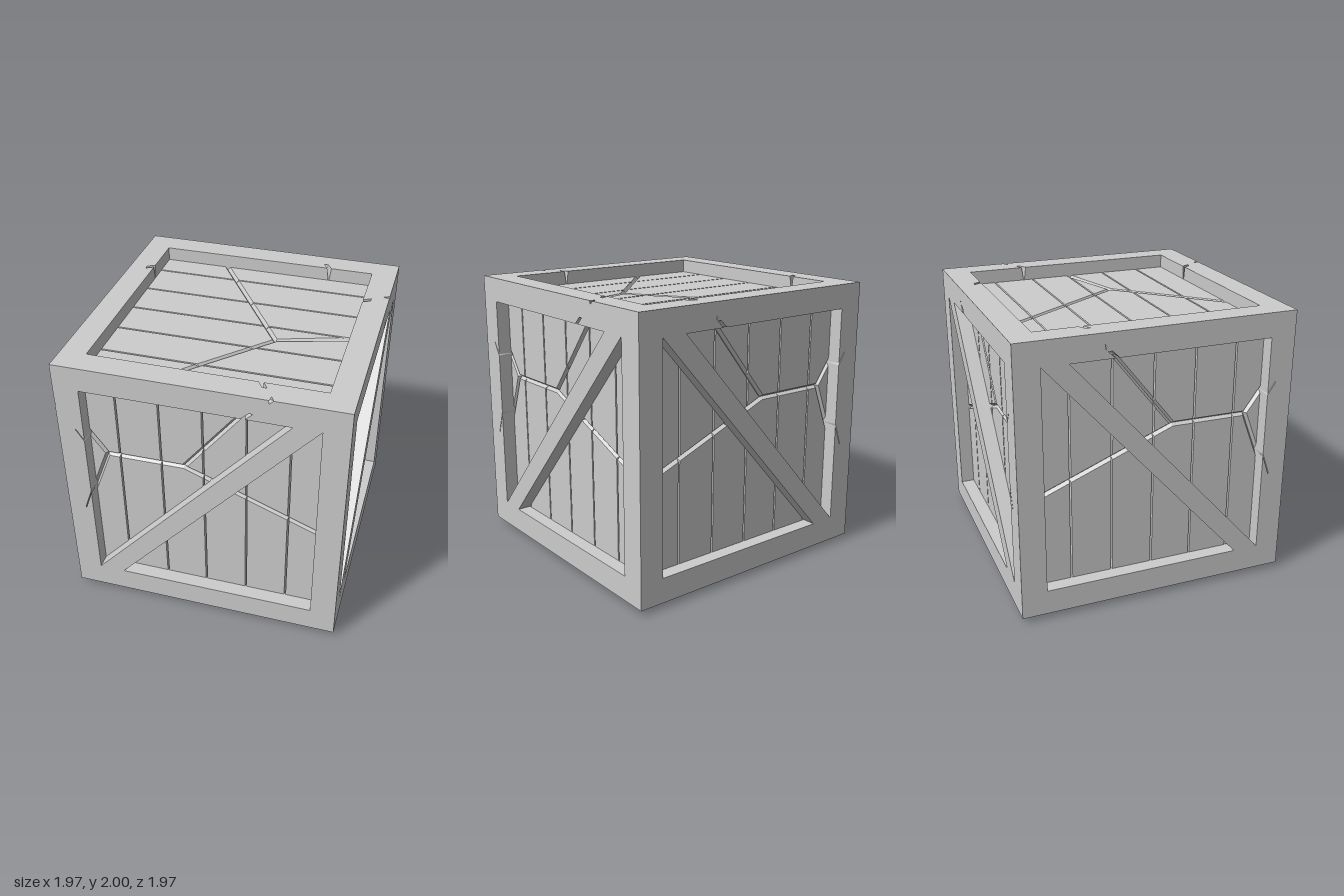
import * as THREE from 'three';

const OUT = 0.985, IN = 0.805;          // frame: outer half width, opening half width
const LOW = 0.04, TOP = 2;              // crate bottom and top
const SILL = 0.22, HEAD = 1.825;        // side opening
const RECESS = 0.1, GROOVE = 0.025;     // panel recess and plank thickness
const CRACK = 0.017, GAP = 0.006, HAIR = 0.003, NOTCH = 0.014; // half widths of the grooves

// Polygons are counter-clockwise [u, v, w]; w is the chamfer of the edge starting at that corner.

// Keep the side of a convex polygon where sign * (coordinate - value) >= 0
function clip(poly, axis, value, sign) {
  const out = [];
  poly.forEach((a, i) => {
    const b = poly[(i + 1) % poly.length];
    const da = sign * (a[axis] - value), db = sign * (b[axis] - value);
    if (da >= 0) out.push(a);
    if ((da >= 0) !== (db >= 0)) {
      const t = da / (da - db);
      out.push([a[0] + (b[0] - a[0]) * t, a[1] + (b[1] - a[1]) * t, da >= 0 ? GAP : a[2]]);
    }
  });
  return out.filter((p, i) => {
    const q = out[(i + 1) % out.length];
    return Math.hypot(q[0] - p[0], q[1] - p[1]) > 0.015;
  });
}

// Move every edge inwards by its own chamfer
function inset(poly) {
  const n = poly.length;
  const normal = (i) => {
    const a = poly[i], b = poly[(i + 1) % n], l = Math.hypot(b[0] - a[0], b[1] - a[1]);
    return [(a[1] - b[1]) / l, (b[0] - a[0]) / l];
  };
  return poly.map((p, i) => {
    const k = (i + n - 1) % n, m = normal(k), o = normal(i);
    const w0 = poly[k][2] || 0, w1 = p[2] || 0, det = m[0] * o[1] - m[1] * o[0];
    if (Math.abs(det) < 1e-4) return [p[0] + o[0] * w1, p[1] + o[1] * w1];
    return [p[0] + (w0 * o[1] - w1 * m[1]) / det, p[1] + (m[0] * w1 - o[0] * w0) / det];
  });
}

// Chamfered blocks from z0 up to z1, placed by a matrix that may mirror
function blocks(polys, z0, z1, matrix) {
  const pos = [], flip = matrix.determinant() < 0;
  const tri = (a, b, c) => pos.push(...a, ...(flip ? c : b), ...(flip ? b : c));
  for (const poly of polys) {
    const n = poly.length;
    if (n < 3) continue;
    const ins = inset(poly);
    const collapsed = poly.some((p, i) => {
      const j = (i + 1) % n;
      return (poly[j][0] - p[0]) * (ins[j][0] - ins[i][0]) + (poly[j][1] - p[1]) * (ins[j][1] - ins[i][1]) <= 0;
    });
    if (collapsed) continue;
    const lo = poly.map((p) => [p[0], p[1], z0]), hi = ins.map((p) => [p[0], p[1], z1]);
    for (let i = 0; i < n; i++) {
      const j = (i + 1) % n;
      tri(lo[i], lo[j], hi[j]);
      tri(lo[i], hi[j], hi[i]);
      if (i > 0 && i < n - 1) tri(hi[0], hi[i], hi[i + 1]);
    }
  }
  const g = new THREE.BufferGeometry();
  g.setAttribute('position', new THREE.Float32BufferAttribute(pos, 3));
  g.applyMatrix4(matrix);
  g.computeVertexNormals();
  return g;
}

// Cut cracked regions into planks along one axis
function planks(regions, axis, cuts) {
  const lines = [-9, ...cuts, 9];
  return regions.flatMap((r) => cuts.concat(9).map((c, i) => clip(clip(r, axis, lines[i], 1), axis, c, -1)));
}

// Side wall: panel regions around a forked crack
function sidePanel() {
  const c = CRACK, J = [-0.14, 1.265, c], K = [-0.69, 1.26, c];
  return planks([
    [J, [IN, 0.89], [IN, HEAD], [0.3, HEAD, c]],
    [J, [0.3, HEAD], [-IN, HEAD], [-IN, 1.42, c], K],
    [J, K, [-IN, 0.96], [-IN, SILL], [IN, SILL], [IN, 0.89, c]],
    [K, [-IN, 1.42], [-IN, 0.96, c]],
  ], 0, [-0.6, -0.3, 0, 0.3, 0.595]);
}

// Side wall: beams split where the crack runs through them
const sideFrame = [
  [[-OUT, HEAD], [0.3, HEAD, 0.01], [0.48, TOP], [-OUT, TOP]],
  [[0.3, HEAD], [OUT, HEAD], [OUT, TOP], [0.48, TOP, 0.01]],
  [[-OUT, 1.7, HAIR], [-IN, 1.42], [-IN, HEAD], [-OUT, HEAD]],
  [[-OUT, 0.45, HAIR], [-IN, 0.96], [-IN, 1.42, HAIR], [-OUT, 1.7]],
  [[-OUT, SILL], [-IN, SILL], [-IN, 0.96, HAIR], [-OUT, 0.45]],
  [[IN, SILL], [OUT, SILL], [OUT, HEAD], [IN, HEAD]],
  [[-OUT, LOW], [OUT, LOW], [OUT, SILL], [-OUT, SILL]],
];
const brace = [[[-IN, SILL], [-0.62, SILL], [IN, HEAD], [0.62, HEAD]]];

// Lid and floor: three regions around a Y-shaped crack
function lidPanel() {
  const c = CRACK, J = [0.3, -0.15, c];
  return planks([
    [J, [IN, 0], [IN, IN], [-0.32, IN, c]],
    [J, [-0.32, IN], [-IN, IN], [-IN, -IN], [-0.32, -IN, c]],
    [J, [-0.32, -IN], [IN, -IN], [IN, 0, c]],
  ], 1, [-0.58, -0.28, 0.015, 0.31, 0.615]);
}

// Lid and floor: four beams, each split by a slanting notch of half width w
const lidFrame = (w) => [
  [[-OUT, -OUT], [0.48, -OUT, w], [0.37, -IN], [-OUT, -IN]],
  [[0.48, -OUT], [OUT, -OUT], [OUT, -IN], [0.37, -IN, w]],
  [[-OUT, IN], [0.48, IN, w], [0.37, OUT], [-OUT, OUT]],
  [[0.48, IN], [OUT, IN], [OUT, OUT], [0.37, OUT, w]],
  [[-OUT, -IN], [-IN, -IN], [-IN, 0.48, w], [-OUT, 0.38]],
  [[-OUT, 0.38, w], [-IN, 0.48], [-IN, IN], [-OUT, IN]],
  [[IN, -IN], [OUT, -IN], [OUT, 0.48, w], [IN, 0.38]],
  [[IN, 0.38, w], [OUT, 0.48], [OUT, IN], [IN, IN]],
];

export function createModel() {
  const crate = new THREE.Group();
  crate.name = 'crate';
  const grey = new THREE.MeshStandardMaterial({ color: 0xcccccc });
  grey.name = 'plainGrey';
  const add = (name, geometry) => {
    const mesh = new THREE.Mesh(geometry, grey);
    mesh.name = name;
    crate.add(mesh);
    return mesh;
  };
  const back = -RECESS - GROOVE;

  // Solid core behind the planks
  const core = 2 * (OUT + back);
  add('core', new THREE.BoxGeometry(core, TOP - LOW + 2 * back, core)).position.y = (TOP + LOW) / 2;

  // Four side walls; back and left mirror front and right
  const front = new THREE.Matrix4().makeTranslation(0, 0, OUT);
  const right = new THREE.Matrix4().makeRotationY(Math.PI / 2).multiply(front);
  const walls = {
    front, right,
    back: new THREE.Matrix4().makeScale(1, 1, -1).multiply(front),
    left: new THREE.Matrix4().makeScale(-1, 1, 1).multiply(right),
  };
  for (const [side, m] of Object.entries(walls)) {
    add(side + 'Planks', blocks(sidePanel(), back, -RECESS, m));
    add(side + 'Frame', blocks(sideFrame, back, 0, m));
    add(side + 'Brace', blocks(brace, back, 0, m));
  }

  // Lid, and the floor as its mirror image
  const lid = new THREE.Matrix4().makeTranslation(0, TOP, 0)
    .multiply(new THREE.Matrix4().makeRotationX(-Math.PI / 2));
  const floor = new THREE.Matrix4().makeTranslation(0, TOP + LOW, 0)
    .multiply(new THREE.Matrix4().makeScale(1, -1, 1)).multiply(lid);
  add('lidPlanks', blocks(lidPanel(), back, -RECESS, lid));
  add('lidFrame', blocks(lidFrame(NOTCH), back, 0, lid));
  add('floorPlanks', blocks(lidPanel(), back, -RECESS, floor));
  add('floorFrame', blocks(lidFrame(0), back, 0, floor));

  // Four feet with a sloping inner side
  const foot = new THREE.Shape([[0.8, 0], [0.8, 0.15], [0.61, 0.15], [0.61, 0.07], [0.7, 0]]
    .map(([x, y]) => new THREE.Vector2(x, y)));
  for (const turn of [0, Math.PI]) {
    for (const z of [-0.67, 0.49]) {
      const g = new THREE.ExtrudeGeometry(foot, { depth: 0.18, bevelEnabled: false });
      g.translate(0, 0, z).rotateY(turn);
      add('foot', g);
    }
  }
  return crate;
}
